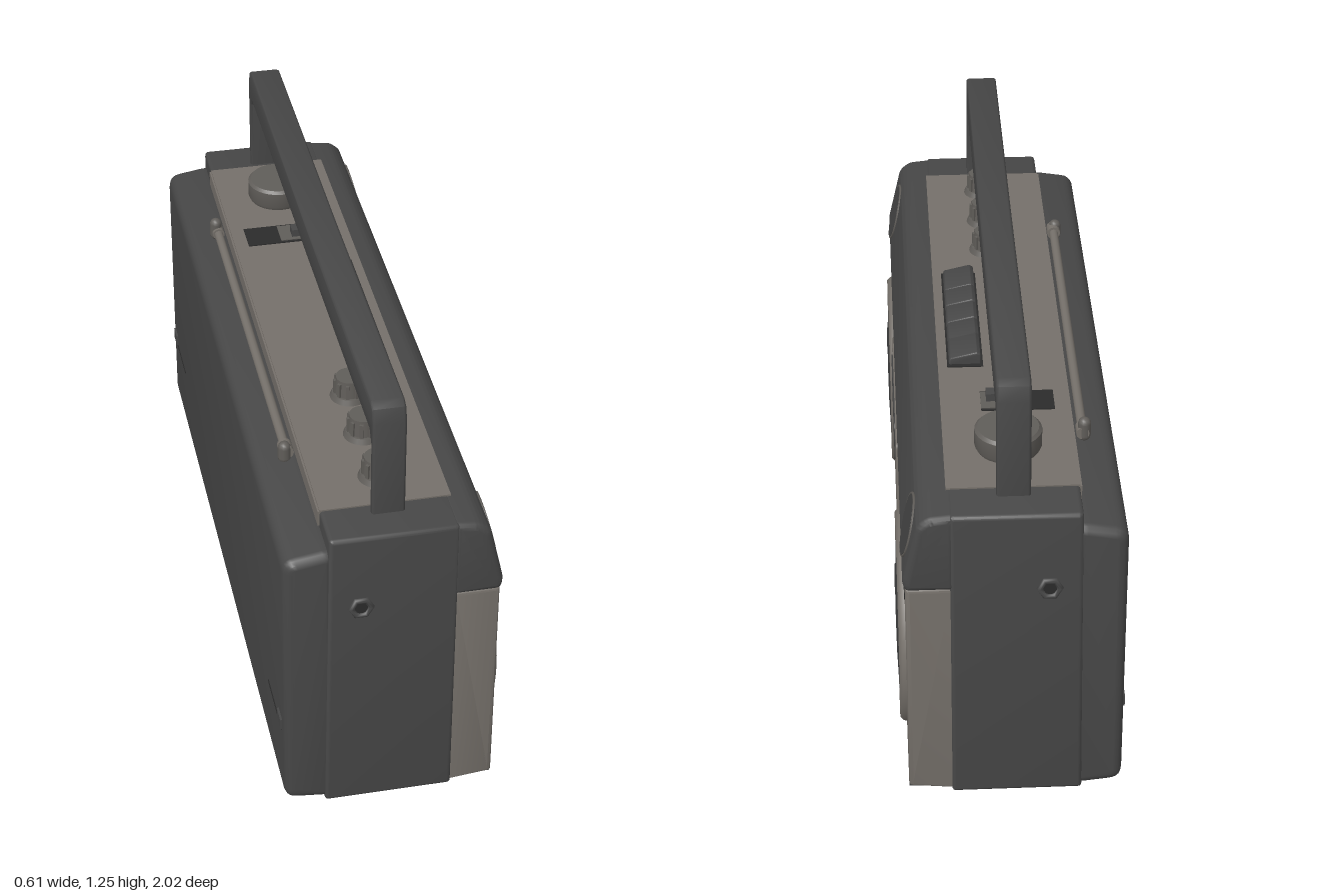
import * as THREE from 'three';
import { toCreasedNormals } from 'three/addons/utils/BufferGeometryUtils.js';

const paint = (name, color) => {
  const m = new THREE.MeshStandardMaterial({ color });
  m.name = name;
  return m;
};

export function createModel() {
  const radio = new THREE.Group();
  radio.name = 'portableRadio';

  const dark = paint('charcoal plastic', 0x474747);
  const light = paint('warm grey plastic', 0x75706a);
  const mid = paint('knob grey', 0x605d59);
  const grille = paint('speaker mesh', 0x434343);
  const black = paint('gap black', 0x2b2b2b);

  const add = (name, geometry, material, x = 0, y = 0, z = 0) => {
    const mesh = new THREE.Mesh(geometry, material);
    mesh.name = name;
    mesh.position.set(x, y, z);
    radio.add(mesh);
    return mesh;
  };

  // Polygon whose corners are rounded by r
  const rounded = (pts, r) => {
    const v = pts.map(p => new THREE.Vector2(...p));
    const shape = new THREE.Shape();
    v.forEach((p, i) => {
      const toward = q => {
        const d = q.clone().sub(p);
        return p.clone().add(d.setLength(Math.min(r, d.length() * 0.45)));
      };
      const a = toward(v[(i + v.length - 1) % v.length]);
      const b = toward(v[(i + 1) % v.length]);
      if (i) shape.lineTo(a.x, a.y); else shape.moveTo(a.x, a.y);
      shape.quadraticCurveTo(p.x, p.y, b.x, b.y);
    });
    shape.closePath();
    return shape;
  };

  const extrude = (shape, depth, bevel) => new THREE.ExtrudeGeometry(shape, {
    depth: depth - 2 * bevel, bevelEnabled: bevel > 0, bevelSize: bevel,
    bevelThickness: bevel, bevelOffset: -bevel, bevelSegments: 3, curveSegments: 5,
  }).translate(0, 0, bevel - depth / 2);

  // Side profile (x, y) swept along the length of the case
  const sweep = (name, pts, r, length, bevel, material) =>
    add(name, toCreasedNormals(extrude(rounded(pts, r), length, bevel), 0.6), material);

  // Outline in (z, y) lying on the speaker side, from x0 to x1
  const plate = (name, pts, r, x0, x1, bevel, material) => {
    const shape = rounded(pts.map(([z, y]) => [-z, y]), r);
    const g = extrude(shape, x1 - x0, bevel).rotateY(Math.PI / 2);
    return add(name, toCreasedNormals(g, 0.6), material, (x0 + x1) / 2);
  };
  const rect = (z0, z1, y0, y1) => [[z0, y0], [z1, y0], [z1, y1], [z0, y1]];
  const box = (name, size, material, x, y, z) =>
    add(name, new THREE.BoxGeometry(...size), material, x, y, z);

  // Case
  sweep('mainCase', [[-0.19, 0], [0.165, 0], [0.165, 0.915], [-0.18, 0.915]], 0.012, 2, 0.012, dark);
  sweep('rearShell', [[-0.3, 0.016], [-0.16, 0], [-0.16, 0.872], [-0.3, 0.85]], 0.035, 1.985, 0.025, dark);
  sweep('frontPanel', [[0.15, 0.004], [0.282, 0.018], [0.282, 0.685], [0.15, 0.685]], 0.01, 1.985, 0.012, light);
  sweep('upperFrontPanel',
    [[0.15, 0.68], [0.283, 0.68], [0.29, 0.71], [0.25, 0.885], [0.22, 0.908], [0.15, 0.915]],
    0.014, 1.995, 0.018, dark);
  box('bottomTrim', [0.118, 0.012, 1.95], dark, 0.222, 0.012, 0);
  box('topPanel', [0.35, 0.008, 1.74], light, -0.005, 0.915, 0);
  box('rearLedgeTrim', [0.008, 0.045, 1.74], light, -0.181, 0.892, 0);

  // Speakers
  const turned = (pts, n) => new THREE.LatheGeometry(pts.map(p => new THREE.Vector2(...p)), n).rotateZ(-Math.PI / 2);
  for (const z of [0.643, -0.643]) {
    const ring = turned([[0.297, 0], [0.294, 0.012], [0.284, 0.021], [0.272, 0.02], [0.268, 0.008]], 48);
    add('speakerRing', ring, light, 0.28, 0.345, z);
    const cone = turned([[0.271, 0], [0.268, 0.016], [0.2, 0.021], [0.1, 0.025], [0, 0.026]], 48);
    add('speakerGrille', cone, grille, 0.28, 0.345, z);
    const cap = turned([[0.045, 0], [0.042, 0.002], [0, 0.003]], 20);
    add('speakerCap', cap, grille, 0.304, 0.39, z + 0.1);
  }

  // Tweeters on the sloped panel
  const slope = 0.225;
  for (const z of [0.857, -0.857]) {
    const tweeter = new THREE.Group();
    tweeter.name = 'tweeter';
    const disc = new THREE.Mesh(new THREE.CylinderGeometry(0.08, 0.08, 0.008, 32), grille);
    disc.name = 'tweeterDisc';
    const rim = new THREE.Mesh(new THREE.TorusGeometry(0.083, 0.004, 6, 32).rotateX(Math.PI / 2), mid);
    rim.name = 'tweeterRim';
    tweeter.add(disc, rim);
    tweeter.position.set(0.27, 0.8, z);
    tweeter.rotation.z = slope - Math.PI / 2;
    radio.add(tweeter);
    // Small vents under the tweeter
    for (let i = 0; i < 3; i++) {
      box('vent', [0.006, 0.006, 0.09 - i * 0.02], black, 0.281, 0.648 - i * 0.014, Math.sign(z) * 0.915);
    }
  }

  // Cassette door
  plate('doorGap', rect(-0.312, 0.315, 0.198, 0.682), 0.015, 0.275, 0.284, 0, black);
  plate('cassetteDoor', rect(-0.3, 0.303, 0.215, 0.678), 0.02, 0.275, 0.293, 0.006, light);
  plate('cassetteWindow', rect(-0.192, 0.21, 0.55, 0.675), 0.025, 0.289, 0.296, 0, grille);
  plate('lowerPanel', rect(-0.305, 0.308, 0.085, 0.195), 0.02, 0.275, 0.286, 0.004, light);
  for (const z of [-0.2, 0, 0.2]) box('panelSlot', [0.004, 0.005, 0.13], black, 0.286, 0.088, z);

  // Carrying handle: two posts joined by a thick bar
  const outline = new THREE.Shape();
  [[-0.908, 0.9], [-0.908, 1.2], [-0.895, 1.24], [-0.87, 1.252], [0, 1.245], [0.87, 1.252], [0.895, 1.24],
    [0.908, 1.2], [0.908, 0.9], [0.885, 0.9], [0.885, 1.13], [0.865, 1.158], [0, 1.152], [-0.865, 1.158],
    [-0.885, 1.13], [-0.885, 0.9]].forEach(([u, y], i) => i ? outline.lineTo(u, y) : outline.moveTo(u, y));
  const handle = extrude(outline, 0.09, 0.008).rotateY(Math.PI / 2);
  add('handle', toCreasedNormals(handle, 0.6), dark, -0.005);

  // Ribbed control knobs
  for (const z of [0.755, 0.565, 0.385]) {
    add('knobSkirt', new THREE.CylinderGeometry(0.048, 0.055, 0.016, 24), mid, 0, 0.926, z);
    add('knob', new THREE.CylinderGeometry(0.038, 0.042, 0.056, 20), mid, 0, 0.956, z);
    for (let i = 0; i < 10; i++) {
      const a = i * Math.PI / 5;
      const rib = box('knobRib', [0.012, 0.044, 0.01], mid, Math.cos(a) * 0.039, 0.954, z + Math.sin(a) * 0.039);
      rib.rotation.y = -a;
    }
  }

  // Tuning knob
  const tuning = new THREE.LatheGeometry([[0.084, 0], [0.09, 0.012], [0.09, 0.058], [0.082, 0.066], [0, 0.066]]
    .map(p => new THREE.Vector2(...p)), 28);
  add('tuningKnob', toCreasedNormals(tuning, 0.6), mid, -0.003, 0.918, -0.682);

  // Band switch
  box('switchSlot', [0.2, 0.006, 0.095], black, -0.04, 0.919, -0.46);
  box('switchPlate', [0.1, 0.007, 0.08], mid, 0.01, 0.921, -0.46);
  box('switchLever', [0.05, 0.03, 0.035], dark, 0.02, 0.932, -0.45);

  // Tape keys
  box('keyBed', [0.1, 0.008, 0.52], black, 0.094, 0.918, -0.02);
  for (let i = 0; i < 5; i++) {
    const key = [[0.05, 0.915], [0.14, 0.915], [0.137, 0.94], [0.06, 0.958], [0.05, 0.95]];
    const width = i === 0 || i === 4 ? 0.115 : 0.09;
    const g = extrude(rounded(key, 0.006), width, 0.004);
    add('tapeKey', toCreasedNormals(g, 0.6), dark, 0, 0, [-0.21, -0.12, -0.025, 0.07, 0.172][i]);
  }

  // Folded antenna on the rear ledge
  const rod = (name, r, z0, z1) =>
    add(name, new THREE.CylinderGeometry(r, r, z1 - z0, 12).rotateX(Math.PI / 2), light, -0.21, 0.888, (z0 + z1) / 2);
  rod('antennaRod', 0.013, -0.56, 0.55);
  rod('antennaTip', 0.018, -0.585, -0.545);
  rod('antennaPivot', 0.02, 0.53, 0.57);
  add('antennaClip', new THREE.CapsuleGeometry(0.018, 0.035, 4, 10), mid, -0.215, 0.895, -0.57);
  add('antennaMount', new THREE.CapsuleGeometry(0.018, 0.03, 4, 10), mid, -0.215, 0.885, 0.56);

  // Strap lugs on both ends and small clips on the back
  for (const s of [1, -1]) {
    add('strapLug', new THREE.TorusGeometry(0.027, 0.009, 8, 6), dark, -0.095, 0.685, s * 1.0);
    add('strapHole', new THREE.CylinderGeometry(0.02, 0.02, 0.006, 6).rotateX(Math.PI / 2), black, -0.095, 0.685, s);
    box('rearClip', [0.035, 0.035, 0.05], dark, -0.288, 0.265, s * 0.93);
    box('rearSeam', [0.004, 0.006, 0.2], black, -0.3, 0.245, s * 0.85);
  }

  return radio;
}
